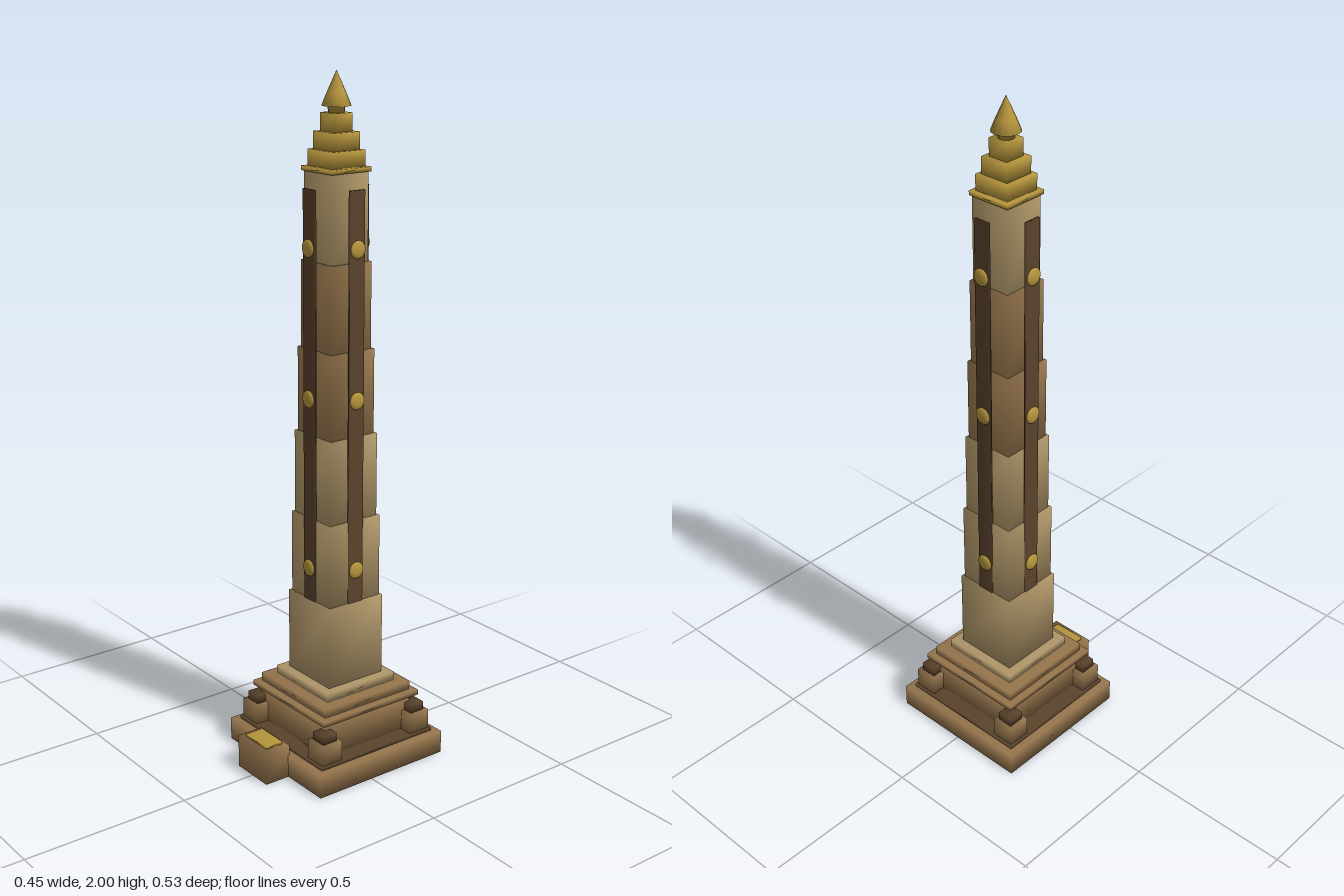
import * as THREE from 'three';
import { mergeVertices } from 'three/addons/utils/BufferGeometryUtils.js';

const mat = (color) => new THREE.MeshStandardMaterial({ color });

export function createModel() {
  const brown = mat(0x94744c), tan = mat(0xae9568), dark = mat(0x5a432c), gold = mat(0xb5953c);
  const model = new THREE.Group();
  const tower = new THREE.Group();
  tower.name = 'tower';
  tower.position.z = -0.04;
  model.add(tower);

  // Box from y0 to y1 with shared corners, so that the shading flows over its edges
  function block(parent, name, material, w, d, y0, y1, x = 0, z = 0) {
    let geo = new THREE.BoxGeometry(w, y1 - y0, d);
    geo.deleteAttribute('normal');
    geo.deleteAttribute('uv');
    geo = mergeVertices(geo);
    geo.computeVertexNormals();
    const mesh = new THREE.Mesh(geo, material);
    mesh.name = name;
    mesh.position.set(x, (y0 + y1) / 2, z);
    parent.add(mesh);
    return mesh;
  }
  const tier = (name, material, half, y0, y1) => block(tower, name, material, half * 2, half * 2, y0, y1);

  // Stepped base
  tier('plinth', brown, 0.226, 0, 0.069);
  tier('plinthInset', dark, 0.205, 0.069, 0.079);
  tier('baseBody', brown, 0.157, 0.079, 0.188);
  tier('baseLedge', brown, 0.176, 0.185, 0.2);
  tier('baseStep', brown, 0.157, 0.2, 0.227);
  tier('baseTopStep', tan, 0.124, 0.227, 0.254);

  // Corner posts with caps
  for (const sx of [-1, 1]) for (const sz of [-1, 1]) {
    block(tower, 'cornerPost', brown, 0.07, 0.07, 0.079, 0.138, sx * 0.163, sz * 0.163);
    block(tower, 'cornerPostCap', dark, 0.048, 0.048, 0.138, 0.163, sx * 0.163, sz * 0.163);
  }

  // Shaft sections, narrowing upwards
  const shaftMaterials = [tan, tan, tan, brown, brown, tan];
  shaftMaterials.forEach((m, i) => {
    const y0 = 0.254 + i * 0.2465;
    tier('shaftSection' + (i + 1), m, 0.0975 - i * 0.007, y0, y0 + 0.2465);
  });

  // Upright strips and round bosses on the four sides
  for (let i = 0; i < 4; i++) {
    const side = new THREE.Group();
    side.name = 'sideTrim';
    side.rotation.y = i * Math.PI / 2;
    block(side, 'strip', dark, 0.05, 0.008, 0.495, 1.69, 0, 0.091);
    for (const y of [0.6, 1.105, 1.53]) {
      const boss = new THREE.Mesh(new THREE.SphereGeometry(0.025, 16, 12), gold);
      boss.name = 'boss';
      boss.scale.z = 0.33;
      boss.position.set(0, y, 0.097);
      side.add(boss);
    }
    tower.add(side);
  }

  // Gilded stepped crown
  tier('crownPlate', gold, 0.068, 1.732, 1.745);
  tier('crownStep1', gold, 0.056, 1.745, 1.79);
  tier('crownStep2', gold, 0.045, 1.79, 1.838);
  tier('crownStep3', gold, 0.031, 1.838, 1.888);

  // Pointed finial
  const profile = [[0, 1.885], [0.022, 1.885], [0.024, 1.903], [0.041, 1.906], [0.027, 1.94], [0, 2]];
  const finial = new THREE.Mesh(
    new THREE.LatheGeometry(profile.map(([r, y]) => new THREE.Vector2(r, y)), 12), gold);
  finial.name = 'finial';
  tower.add(finial);

  // Offering block in front
  block(model, 'altar', brown, 0.14, 0.083, 0, 0.1, 0, 0.2225);
  block(model, 'altarPlate', gold, 0.1, 0.056, 0.1, 0.108, 0, 0.221);

  return model;
}
